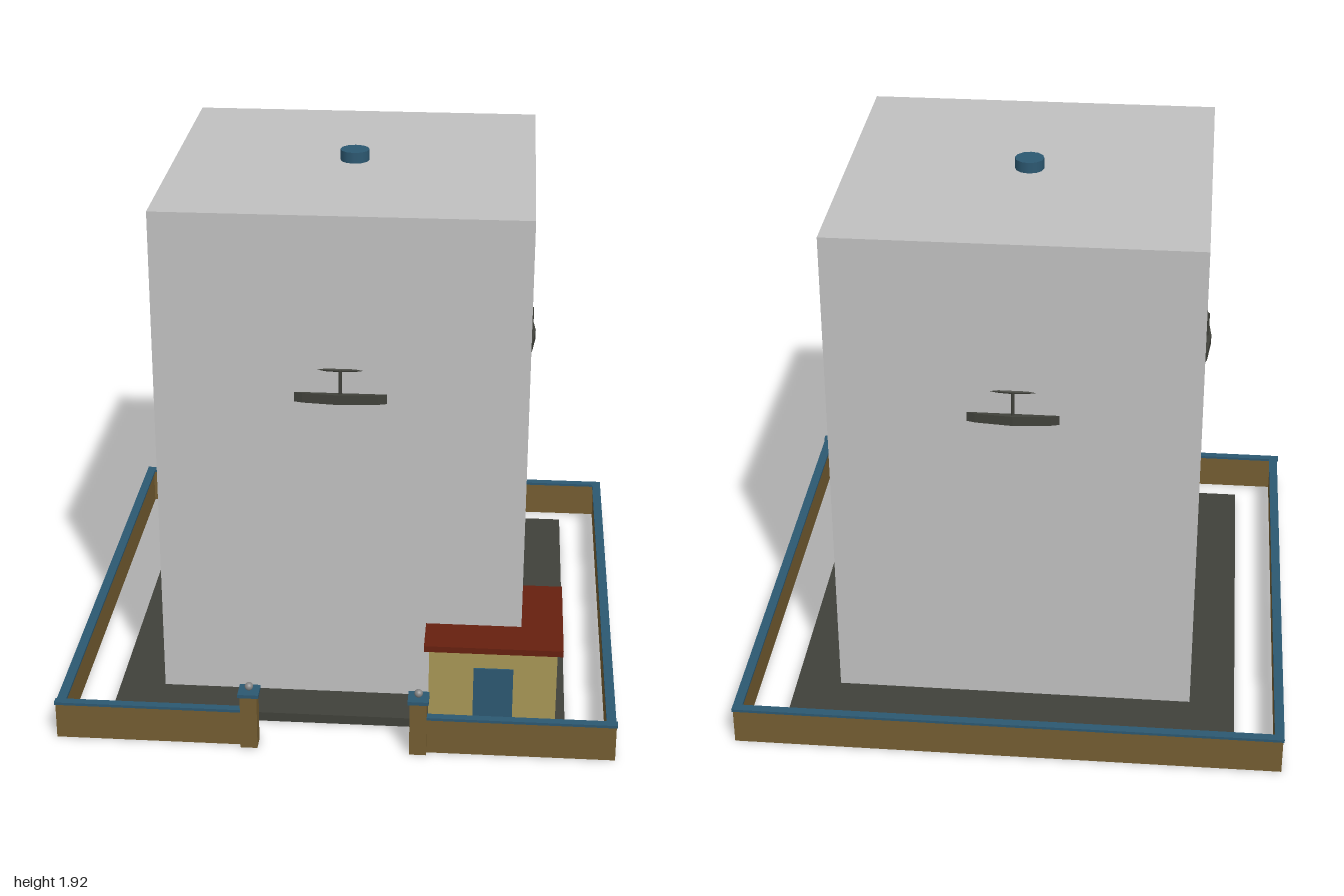
import * as THREE from 'three';

const flat = (name, color) => {
  const m = new THREE.MeshStandardMaterial({ color });
  m.name = name;
  return m;
};

export function createModel() {
  const concrete = flat('concreteGrey', 0xc0c0c0);
  const dark = flat('darkStone', 0x40413a);
  const blue = flat('blueTrim', 0x2c5871);
  const brown = flat('brownWall', 0x745d31);
  const tan = flat('tanPlaster', 0xa79656);
  const red = flat('redRoof', 0x66200f);
  const steel = flat('steelGrey', 0x858585);

  const model = new THREE.Group();
  const CZ = -0.012; // centre of tower and slab

  const add = (name, geo, mat, x = 0, y = 0, z = 0) => {
    const mesh = new THREE.Mesh(geo, mat);
    mesh.name = name;
    mesh.position.set(x, y, z);
    model.add(mesh);
    return mesh;
  };
  // box given by its limits on each axis
  const box = (name, mat, x0, x1, y0, y1, z0, z1) =>
    add(name, new THREE.BoxGeometry(x1 - x0, y1 - y0, z1 - z0), mat,
      (x0 + x1) / 2, (y0 + y1) / 2, (z0 + z1) / 2);

  // tower on its base slab, with a round vent on the roof
  box('baseSlab', dark, -0.82, 0.82, 0.002, 0.037, CZ - 0.822, CZ + 0.822);
  box('tower', concrete, -0.655, 0.655, 0, 1.88, CZ - 0.655, CZ + 0.655);
  add('roofVent', new THREE.CylinderGeometry(0.053, 0.053, 0.042, 12), blue, 0, 1.899, CZ);

  // ring walkway that emerges from the middle of each tower face
  const deck = new THREE.CylinderGeometry(0.677, 0.677, 0.036, 32).toNonIndexed();
  deck.computeVertexNormals();
  add('walkwayDeck', deck, dark, 0, 1.218, CZ);
  const rail = add('walkwayRail', new THREE.TorusGeometry(0.657, 0.006, 6, 32), dark, 0, 1.322, CZ);
  rail.rotation.x = Math.PI / 2;
  for (let i = 0; i < 4; i++) {
    const a = i * Math.PI / 2;
    add('railPost', new THREE.CylinderGeometry(0.006, 0.006, 0.09, 8), dark,
      0.662 * Math.sin(a), 1.28, CZ + 0.662 * Math.cos(a));
  }

  // perimeter wall with a blue coping
  const wall = (x0, x1, z0, z1) => {
    box('perimeterWall', brown, x0 + 0.004, x1 - 0.004, 0, 0.134, z0 + 0.004, z1 - 0.004);
    box('wallCoping', blue, x0, x1, 0.134, 0.144, z0, z1);
  };
  wall(-0.995, 0.995, -1, -0.968);
  for (const s of [-1, 1]) {
    const span = (a, b) => [Math.min(s * a, s * b), Math.max(s * a, s * b)];
    wall(...span(0.961, 0.995), -0.968, 0.944);
    wall(...span(0.3, 1), 0.943, 0.973);

    // gate pillar with cap and ball finial
    box('gatePillar', brown, s * 0.3 - 0.03, s * 0.3 + 0.03, 0, 0.208, 0.928, 0.988);
    box('pillarCap', blue, s * 0.3 - 0.037, s * 0.3 + 0.037, 0.207, 0.22, 0.921, 0.995);
    add('pillarBall', new THREE.SphereGeometry(0.015, 16, 12), steel, s * 0.3, 0.235, 0.958);
  }

  // gatehouse wrapped round the front corner of the tower
  box('gatehouse', tan, 0.328, 0.785, 0.036, 0.316, 0.35, 0.79);
  box('gatehouseRoof', red, 0.31, 0.805, 0.315, 0.338, 0.328, 0.808);
  box('gatehouseDoor', blue, 0.488, 0.63, 0.037, 0.247, 0.788, 0.796);

  return model;
}
